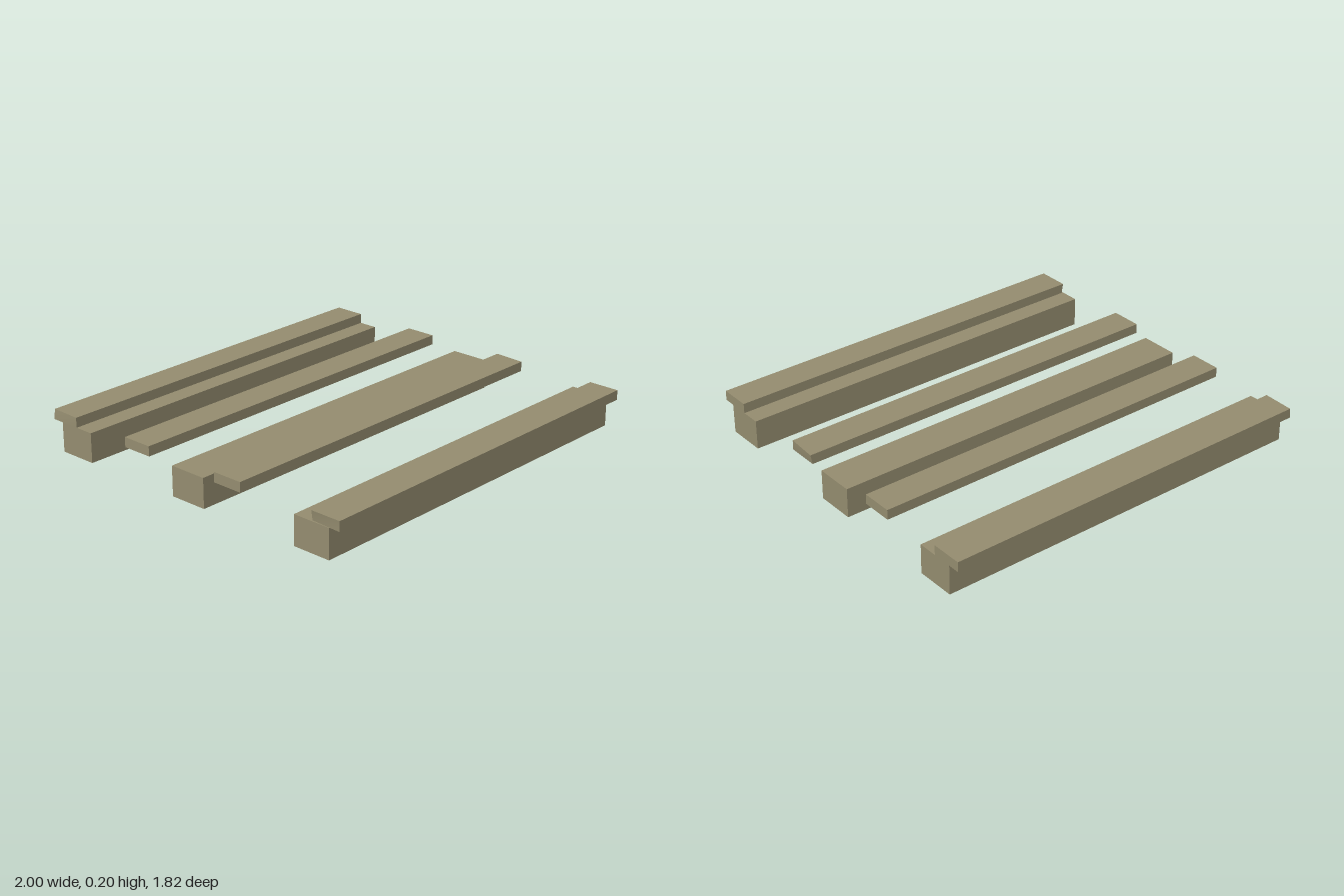
import * as THREE from 'three';

export function createModel() {
  const model = new THREE.Group();
  const wood = new THREE.MeshStandardMaterial({ color: 0x958d70 });
  wood.name = 'weathered wood';
  const left = 0.99, right = -1;

  // Square-sawn timber; cut(x, y, z) returns how far an end corner is shifted in x
  function timber(name, height, depth, y, z, cut) {
    const geometry = new THREE.BoxGeometry(left - right, height, depth);
    geometry.translate((left + right) / 2, 0, 0);
    if (cut) {
      const p = geometry.attributes.position;
      for (let i = 0; i < p.count; i++) {
        p.setX(i, p.getX(i) + cut(p.getX(i) > 0, p.getY(i) > 0, p.getZ(i) > 0));
      }
      geometry.computeVertexNormals();
    }
    const mesh = new THREE.Mesh(geometry, wood);
    mesh.name = name;
    mesh.position.set(0, y + height / 2, z);
    model.add(mesh);
  }

  // Three bearers on the ground
  [['frontBearer', 0.75], ['middleBearer', 0], ['backBearer', -0.75]]
    .forEach(([name, z]) => timber(name, 0.15, 0.2, 0, z));

  // Four thin boards at deck height, with slightly uneven end cuts
  timber('frontBoard', 0.05, 0.16, 0.15, 0.83, (l, top, front) => (!l && !top && !front ? 0.008 : 0));
  timber('innerFrontBoard', 0.05, 0.16, 0.15, 0.25, (l, top, front) => (l && top && !front ? 0.01 : 0));
  timber('innerBackBoard', 0.05, 0.16, 0.15, -0.33);
  timber('backBoard', 0.05, 0.16, 0.15, -0.83, (l, top, front) => (!l && top && !front ? 0.006 : 0));

  return model;
}
